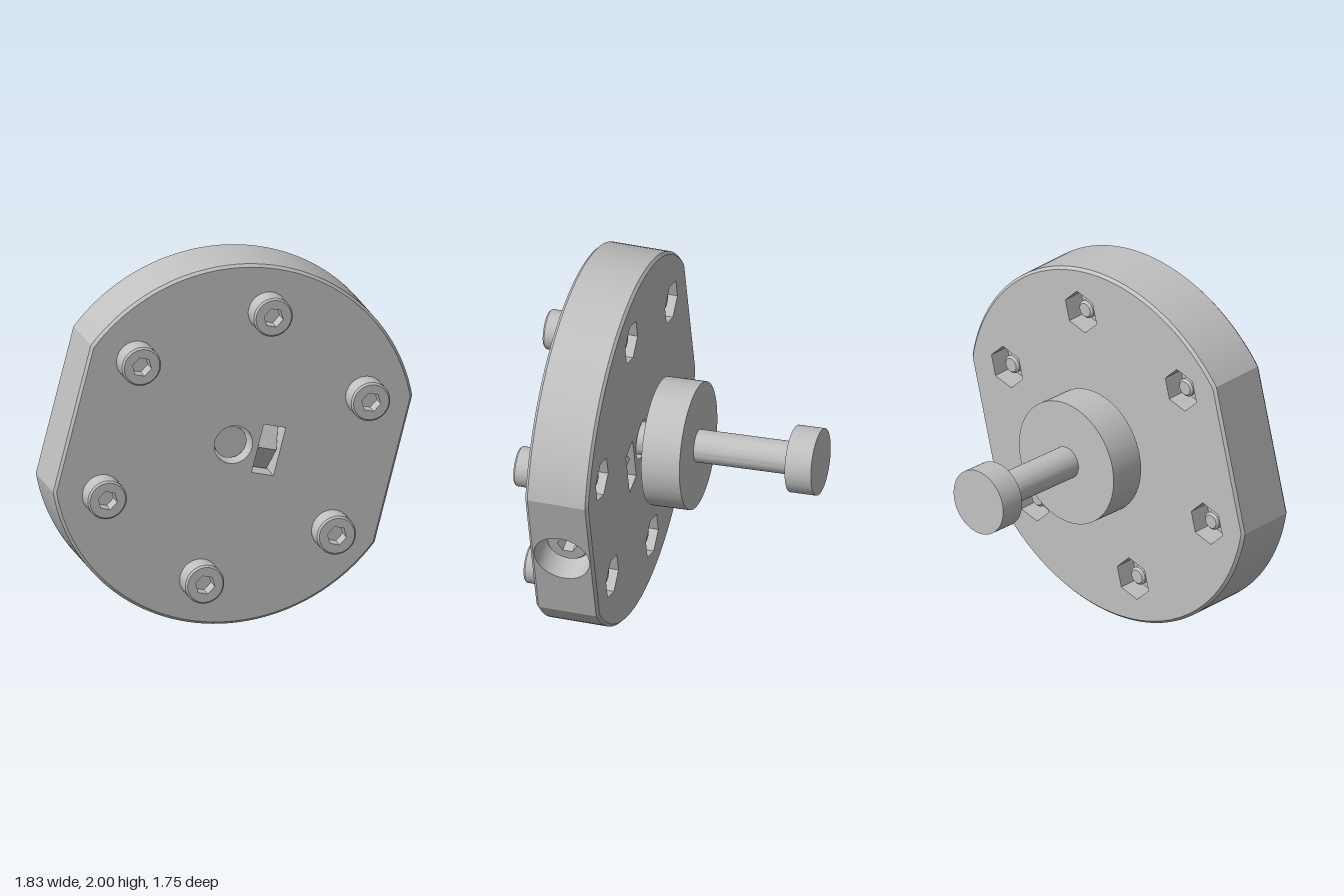
import * as THREE from 'three';
import { toCreasedNormals } from 'three/addons/utils/BufferGeometryUtils.js';

const RAD = Math.PI / 180;
const HALF = 0.173;            // half thickness of the plate
const CHAMFER = 0.015;
const CUT = 24.4 * RAD;        // half angle taken by each side flat
const FLAT = Math.cos(CUT);    // distance of the flats from the axis
const BORE = 0.152;            // side bore radius
const POCKET = 0.12;           // nut pocket depth

const metal = new THREE.MeshStandardMaterial({ color: 0xc0c0c0, side: THREE.DoubleSide });
metal.name = 'brushed grey';

function add(parent, name, geometry, x = 0, y = 0, z = 0) {
  const mesh = new THREE.Mesh(geometry, metal);
  mesh.name = name;
  mesh.position.set(x, y, z);
  parent.add(mesh);
  return mesh;
}

// Regular polygon, counter-clockwise
function polygon(n, r, start = 0, cx = 0, cy = 0) {
  return Array.from({ length: n }, (_, i) => {
    const a = start + (i / n) * Math.PI * 2;
    return new THREE.Vector2(cx + r * Math.cos(a), cy + r * Math.sin(a));
  });
}

// Skin between two outlines at two depths
function skin(a, za, b, zb, closed = true) {
  const pos = [];
  const n = a.length;
  for (let i = 0; i < (closed ? n : n - 1); i++) {
    const j = (i + 1) % n;
    pos.push(a[i].x, a[i].y, za, a[j].x, a[j].y, za, b[j].x, b[j].y, zb);
    pos.push(a[i].x, a[i].y, za, b[j].x, b[j].y, zb, b[i].x, b[i].y, zb);
  }
  const g = new THREE.BufferGeometry();
  g.setAttribute('position', new THREE.Float32BufferAttribute(pos, 3));
  return toCreasedNormals(g, 0.4);
}

// Flat face with cut-outs
function face(outline, holes = []) {
  const s = new THREE.Shape(outline);
  for (const h of holes) s.holes.push(new THREE.Path(h));
  return new THREE.ShapeGeometry(s);
}

// Turned part whose axis runs along z
function turned(profile, segments = 40) {
  const pts = profile.map(([r, z]) => new THREE.Vector2(r, z));
  return toCreasedNormals(new THREE.LatheGeometry(pts, segments).rotateX(Math.PI / 2), 0.5);
}

// Cap screw: underside of the head at z = 0, shank towards -z
function capScrew(name, radius, height, shank) {
  const g = new THREE.Group();
  g.name = name;
  const edge = 0.01, depth = 0.07;
  const socket = polygon(6, 0.054);
  add(g, 'screwHead', turned([[0, 0], [radius, 0], [radius, height - edge], [radius - edge, height]]));
  add(g, 'screwTop', face(polygon(40, radius - edge), [socket]), 0, 0, height);
  add(g, 'socketWall', skin(socket, height - depth, socket, height));
  add(g, 'socketFloor', face(socket), 0, 0, height - depth);
  add(g, 'shank', turned([[0, -shank], [0.038, -shank], [0.05, -shank + 0.012], [0.05, 0]], 24));
  return g;
}

function plateOutline() {
  const pts = [];
  for (const start of [CUT, Math.PI + CUT]) {
    for (let i = 0; i <= 48; i++) {
      const a = start + (i / 48) * (Math.PI - 2 * CUT);
      pts.push(new THREE.Vector2(Math.cos(a), Math.sin(a)));
    }
  }
  return pts;
}

function buildPlate() {
  const plate = new THREE.Group();
  plate.name = 'plate';
  const outer = plateOutline();
  const inner = outer.map(p => p.clone().multiplyScalar(1 - CHAMFER));
  const shoulder = HALF - CHAMFER;
  const rodHole = polygon(40, 0.105);
  const slot = [[0.138, -0.135], [0.262, -0.135], [0.262, 0.135], [0.138, 0.135]]
    .map(([x, y]) => new THREE.Vector2(x, y));
  const boltAngles = Array.from({ length: 6 }, (_, i) => (30 + 60 * i) * RAD);
  const centres = boltAngles.map(a => [0.75 * Math.cos(a), 0.75 * Math.sin(a)]);
  const pockets = centres.map(([x, y]) => polygon(6, 0.117, Math.PI / 2, x, y));

  // Faces, chamfers and rim; the rim stays open at the bored flat
  add(plate, 'frontFace', face(inner, [rodHole, slot]), 0, 0, HALF);
  const back = face(inner.map(p => new THREE.Vector2(-p.x, p.y)).reverse(),
    [rodHole, slot, ...pockets].map(h => h.map(p => new THREE.Vector2(-p.x, p.y))));
  add(plate, 'backFace', back.rotateY(Math.PI), 0, 0, -HALF);
  add(plate, 'frontChamfer', skin(outer, shoulder, inner, HALF));
  add(plate, 'backChamfer', skin(inner, -HALF, outer, -shoulder));
  add(plate, 'rim', skin(outer, -shoulder, outer, shoulder, false));
  add(plate, 'rodHole', skin(rodHole, -HALF, rodHole, HALF));
  add(plate, 'nutSlot', skin(slot, -HALF, slot, HALF));

  // Flat with the side bore
  const w = Math.sin(CUT);
  const flat = [[-shoulder, -w], [shoulder, -w], [shoulder, w], [-shoulder, w]]
    .map(([x, y]) => new THREE.Vector2(x, y));
  const bore = polygon(48, BORE);
  add(plate, 'boredFlat', face(flat, [bore]).rotateY(Math.PI / 2), FLAT);
  add(plate, 'sideBore', skin(bore, -0.21, bore, 0).rotateY(Math.PI / 2), FLAT);
  add(plate, 'boreFloor', face(bore).rotateY(Math.PI / 2), FLAT - 0.21);

  // Set screw in the bore and its captive nut
  const setScrew = capScrew('setScrew', 0.115, 0.11, 0.61);
  setScrew.rotation.y = Math.PI / 2;
  setScrew.position.x = FLAT - 0.21;
  plate.add(setScrew);
  const nut = new THREE.CylinderGeometry(0.15, 0.15, 0.1, 6).rotateZ(Math.PI / 2);
  add(plate, 'captiveNut', toCreasedNormals(nut, 0.5), 0.2);

  // Ring of cap screws with hexagonal pockets behind them
  centres.forEach(([x, y], i) => {
    add(plate, 'pocketWall', skin(pockets[i], -HALF, pockets[i], -HALF + POCKET));
    add(plate, 'pocketFloor', face(pockets[i]).rotateY(Math.PI), 0, 0, -HALF + POCKET)
      .geometry.scale(-1, 1, -1);
    const screw = capScrew('capScrew', 0.107, 0.112, 2 * HALF - 0.03);
    screw.position.set(x, y, HALF);
    plate.add(screw);
  });
  return plate;
}

// Plunger: rod, wide collar and end knob
function buildPlunger() {
  const plunger = new THREE.Group();
  plunger.name = 'plunger';
  const disc = (r, z0, z1) => turned([[0, z0], [r, z0], [r, z1], [0, z1]], 64);
  add(plunger, 'rod', disc(0.088, -1.05, 0.118));
  add(plunger, 'collar', disc(0.342, -0.484, -0.274));
  add(plunger, 'knob', disc(0.179, -1.157, -1.012));
  return plunger;
}

export function createModel() {
  const model = new THREE.Group();
  model.name = 'clampPlate';
  const tilted = new THREE.Group();
  tilted.name = 'assembly';
  tilted.position.set(0, 1, 0.188);
  tilted.rotation.y = -32.9 * RAD;
  const plate = buildPlate();
  plate.rotation.z = -14.5 * RAD;
  const plunger = buildPlunger();
  plunger.rotation.x = 2.2 * RAD;
  tilted.add(plate, plunger);
  model.add(tilted);
  return model;
}
